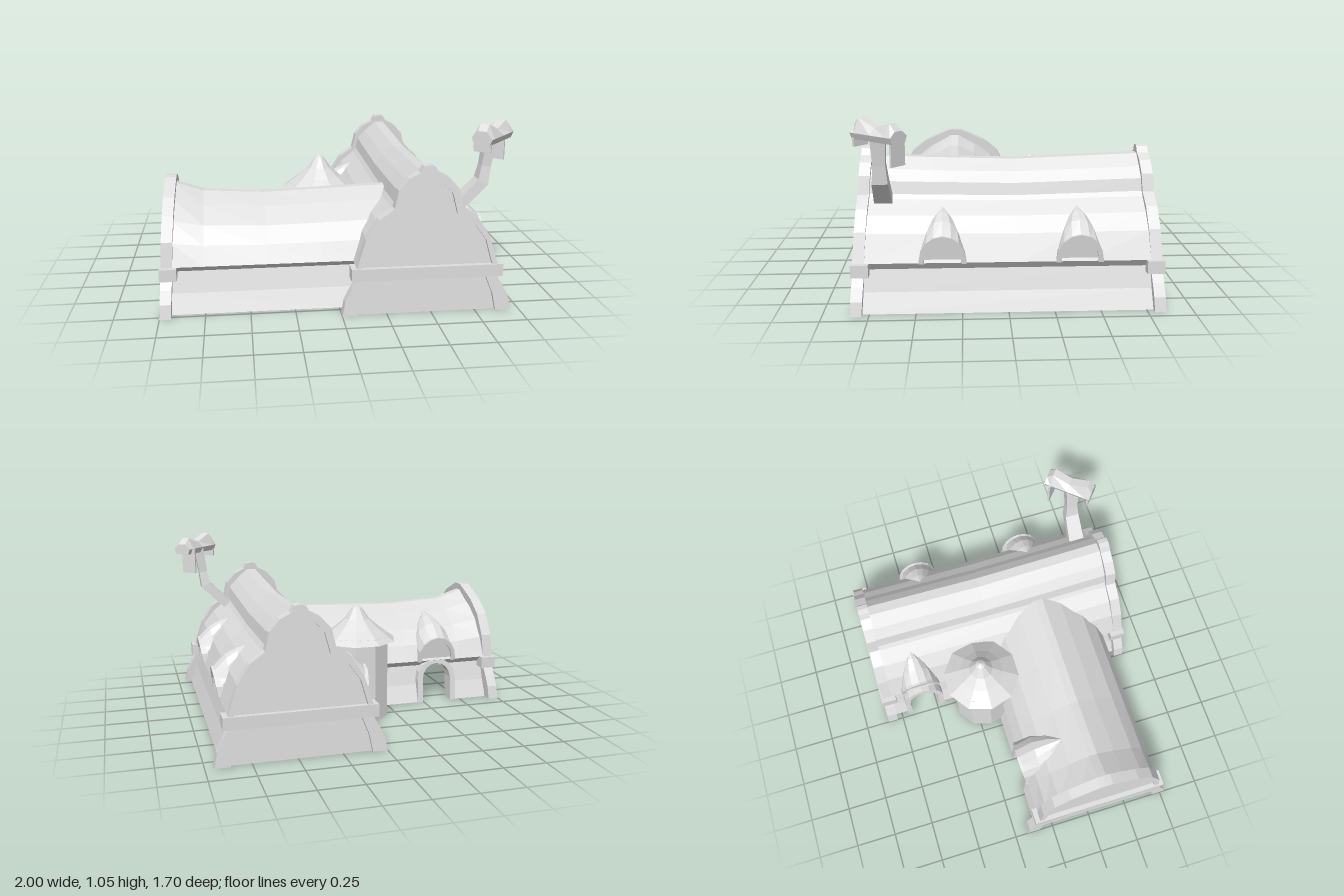
import * as THREE from 'three';

const stone = new THREE.MeshStandardMaterial({ color: 0xdedede, flatShading: true, side: THREE.DoubleSide });
stone.name = 'pale grey';

// Profiles: [half width, height]
const WALL = [[.437, 0], [.395, .11], [.365, .23]];
const HALL_ROOF = [[.395, .27], [.335, .42], [.268, .505], [.185, .575], [.165, .6], [.15, .67], [.1, .728], [.03, .79]];
const HALL_SIDE = [...WALL, ...HALL_ROOF];
const WING_ROOF = [[.395, .27], [.345, .39], [.265, .495], [.14, .59], [.025, .655]];
const FOOT = [[.475, 0], [.46, .08], [.425, .15], [.395, .2]];
const HALL_FRAME = [...FOOT, [.395, .27], [.345, .43], [.275, .54], [.19, .6], [.168, .7], [.11, .765], [.05, .795], [.03, .83], [0, .836]];
const HALL_PANEL = [[.39, 0], [.37, .1], [.33, .2], [.365, .27], [.325, .41], [.26, .5], [.16, .565], [.13, .68], [.085, .73], [.03, .77], [0, .775]];
const WING_FRAME = [...FOOT, [.395, .27], [.375, .41], [.31, .54], [.21, .62], [.1, .67], [.04, .695], [0, .697]];
const WING_PANEL = [[.39, 0], [.37, .1], [.33, .2], [.365, .27], [.34, .39], [.275, .5], [.18, .575], [.08, .62], [0, .64]];
const CX = .475, CZ = .305; // centre lines of hall and wing

const wingLift = (y, d) => y + d * (y - .27) / .385;
const WING_JOINT = WING_ROOF.map(([w, y]) => [w, wingLift(y, -.05)]);

function add(parent, geo, name) {
  const m = new THREE.Mesh(geo, stone);
  m.name = name;
  parent.add(m);
  return m;
}

// Surface through rows of [x, y, z] points
function grid(rows) {
  const pos = rows.flat(2), idx = [], n = rows[0].length;
  for (let i = 0; i < rows.length - 1; i++) for (let j = 0; j < n - 1; j++) {
    const a = i * n + j, b = a + n;
    idx.push(a, b, a + 1, b, b + 1, a + 1);
  }
  const g = new THREE.BufferGeometry();
  g.setAttribute('position', new THREE.Float32BufferAttribute(pos, 3));
  g.setIndex(idx);
  g.computeVertexNormals();
  return g;
}

const mirror = half => [...half, ...half.slice().reverse().filter(p => p[0] > 0).map(([x, y]) => [-x, y])];
const shapeOf = pts => new THREE.Shape(pts.map(p => new THREE.Vector2(p[0], p[1])));

// Half width of a profile at a height
function halfAt(profile, y) {
  for (let i = 0; i < profile.length - 1; i++) {
    const [w0, y0] = profile[i], [w1, y1] = profile[i + 1];
    if (y <= y1) return w0 + (w1 - w0) * (y - y0) / (y1 - y0);
  }
  return 0;
}

// Extrude whose front face is at z, leaning back (or out) with height
function slab(pts, depth, z, lean) {
  const g = new THREE.ExtrudeGeometry(shapeOf(pts), { depth, bevelEnabled: false });
  const p = g.attributes.position;
  for (let i = 0; i < p.count; i++) p.setZ(i, p.getZ(i) + z - depth + lean * p.getY(i));
  g.computeVertexNormals();
  return g;
}

// Gable end: raised frame, recessed wall and cross band
function gable(frame, panel, z) {
  const g = new THREE.Group();
  g.name = 'gableEnd';
  add(g, slab([...mirror(frame), ...mirror(panel).reverse()], .063, z, -.05), 'gableFrame');
  add(g, slab(mirror(panel), .012, z - .02, -.05), 'gableWall');
  add(g, new THREE.BoxGeometry(.85, .07, .095), 'gableBand').position.set(0, .235, z - .0525);
  return g;
}

// Arch outline from one foot over to the other
function arch(w, y0, spring, top, n = 8) {
  const pts = [[w, y0]];
  for (let i = 0; i <= n; i++) {
    const a = Math.PI * i / n;
    pts.push([w * Math.cos(a), spring + (top - spring) * Math.sin(a)]);
  }
  return [...pts, [-w, y0]];
}

// Dormer facing +z with a pointed hood running back into the roof
function dormer(tipZ, tipY, fullness) {
  const g = new THREE.Group();
  g.name = 'dormer';
  add(g, slab([...arch(.128, .265, .28, .425), ...arch(.1, .265, .29, .395).reverse()], .04, .362, .15), 'dormerFrame');
  add(g, slab(arch(.103, .265, .29, .4), .01, .345, .15), 'dormerWindow');
  // hood rings: half width, share of the way back, share of the rise, lean
  const rings = [[.127, 0, 0, .15], [.112 * fullness, .38, .6, .1], [.072 * fullness, .7, .88, .05], [.001, 1, 1, 0]];
  add(g, grid(rings.map(([w, back, rise, lean]) => {
    const y0 = .27 + back * back * (tipY - .27), top = .423 + rise * (tipY - .423), z = .39 + back * (tipZ - .39);
    return arch(w, y0, y0, top).map(([x, h]) => [x, h, z + lean * (h - y0)]);
  })), 'dormerHood');
  return g;
}

function doorway(z) {
  const g = new THREE.Group();
  g.name = 'doorway';
  add(g, slab([...arch(.13, 0, .15, .28), ...arch(.095, 0, .15, .25).reverse()], .09, z, -.1), 'doorArch');
  return g;
}

function place(parent, obj, x, z, turn) {
  obj.position.set(x, 0, z);
  obj.rotation.y = turn;
  parent.add(obj);
}

function hall() {
  const g = new THREE.Group();
  g.name = 'hall';
  // sagging roof, open below where the wing joins
  const roofPoint = (x, y, z) => [CX + x, y - .03 * (1 - Math.abs(z) / .78) * (y - .27) / .52, z];
  add(g, grid([-.78, -.4, -.05, .4, .78].map(z => mirror(HALL_ROOF).slice(0, 12).map(([x, y]) => roofPoint(x, y, z)))), 'hallRoof');
  for (const s of [1, -1])
    add(g, grid([0, 1].map(t => HALL_ROOF.slice(0, 5).map(([x, y]) =>
      roofPoint(-x, y, t ? s * .78 : CZ + s * halfAt(WING_JOINT, y))))), 'hallLowerRoof');
  // flared walls, open at the door and the wing
  const wall = (s, a, b) => add(g, grid([a, b].map(z => WALL.map(([w, y]) => [CX + s * w, y, z]))), 'hallWall');
  wall(1, -.79, .79);
  wall(-1, -.79, -.685);
  wall(-1, -.465, -.06);
  wall(-1, .67, .79);
  for (const [s, a, b] of [[1, -.79, .79], [-1, -.79, -.06], [-1, .67, .79]])
    add(g, grid([a, b].map(z => [[CX + s * .365, .23, z], [CX + s * .395, .27, z]])), 'hallEave');
  place(g, gable(HALL_FRAME, HALL_PANEL, .85), CX, 0, 0);
  place(g, gable(HALL_FRAME, HALL_PANEL, .85), CX, 0, Math.PI);
  place(g, dormer(.22, .535, 1), CX, .355, Math.PI / 2);
  place(g, dormer(.22, .535, 1), CX, -.385, Math.PI / 2);
  place(g, dormer(.22, .535, 1), CX, -.575, -Math.PI / 2);
  place(g, doorway(.455), CX, -.575, -Math.PI / 2);
  return g;
}

function wing() {
  const g = new THREE.Group();
  g.name = 'wing';
  const end = y => CX - halfAt(HALL_SIDE, y);
  // roof flares up at the gable and stops against the hall roof
  const sag = [[-.93, .01], [-.75, -.05], [-.4, -.07], [-.1, -.06], [null, -.045]];
  add(g, grid(sag.map(([x, d]) => mirror(WING_ROOF).map(([z, y]) => {
    const h = wingLift(y, d);
    return [x ?? end(h) + .01, h, CZ + z];
  }))), 'wingRoof');
  const wall = (s, a, b) => add(g, grid([a, b].map(x => WALL.map(([w, y]) => [x ?? end(y), y, CZ + s * (w - .022)]))), 'wingWall');
  wall(1, -.935, null);
  wall(-1, -.935, -.7);
  wall(-1, -.48, null);
  for (const s of [1, -1])
    add(g, grid([-.935, .09].map(x => [[x, .23, CZ + s * .343], [x, .27, CZ + s * .395]])), 'wingEave');
  place(g, gable(WING_FRAME, WING_PANEL, 1), 0, CZ, -Math.PI / 2);
  place(g, dormer(.14, .55, 1.2), -.59, CZ, Math.PI);
  place(g, doorway(.42), -.59, CZ, Math.PI);
  return g;
}

function tower() {
  const g = new THREE.Group();
  g.name = 'tower';
  const lathe = (pts, n, start, arc) => new THREE.LatheGeometry(pts.map(p => new THREE.Vector2(...p)), n, start, arc);
  // the wall only wraps the outer corner between hall and wing
  add(g, lathe([[.2, 0], [.2, .505]], 5, Math.PI * .7, Math.PI), 'towerWall');
  add(g, lathe([[.195, .47], [.24, .475], [.14, .548], [.075, .605], [.03, .67], [0, .69]], 10, Math.PI / 2, Math.PI * 2), 'towerRoof');
  g.position.set(-.02, 0, -.18);
  return g;
}

function chimney() {
  const g = new THREE.Group();
  g.name = 'chimney';
  // bent square pipe: x, y, in-plane offset, half width
  const path = [[.65, .56, .018, -.022, .05], [.8, .71, .028, -.016, .043], [.815, .8, .026, -.005, .034], [.84, .96, .03, -.003, .042]];
  add(g, grid(path.map(([x, y, ox, oy, w]) =>
    [[1, 1], [1, -1], [-1, -1], [-1, 1], [1, 1]].map(([a, b]) => [x + a * ox, y + a * oy, .68 + b * w]))), 'chimneyPipe');
  // ridged cowl with a level underside and flaps hanging below both ends
  const cowl = new THREE.Group();
  cowl.name = 'chimneyCowl';
  const spine = [[-.15, 1.01], [-.12, 1.048], [0, 1.005], [.11, 1.038], [.15, 1.0]];
  const section = (x, top) => [[.045, .935], [.06, .97], [.025, top], [-.025, top], [-.06, .97], [-.045, .935], [.045, .935]].map(([z, y]) => [x, y, z]);
  add(cowl, grid(spine.map(([x, top]) => section(x, top))), 'cowlTop');
  for (const [x, top] of [spine[0], spine[4]]) {
    const s = section(x, top);
    add(cowl, grid([[s[0], s[1], s[2]], [s[5], s[4], s[3]]]), 'cowlEnd');
  }
  for (const [x, z, low] of [[-.137, 0, .895], [.112, -.025, .81]])
    add(cowl, new THREE.BoxGeometry(.012, .975 - low, .1), 'cowlFlap').position.set(x, (.975 + low) / 2, z);
  cowl.position.set(.857, 0, .677);
  cowl.rotation.y = .86;
  g.add(cowl);
  return g;
}

export function createModel() {
  const model = new THREE.Group();
  model.name = 'longHouse';
  model.add(hall(), wing(), tower(), chimney());
  return model;
}
